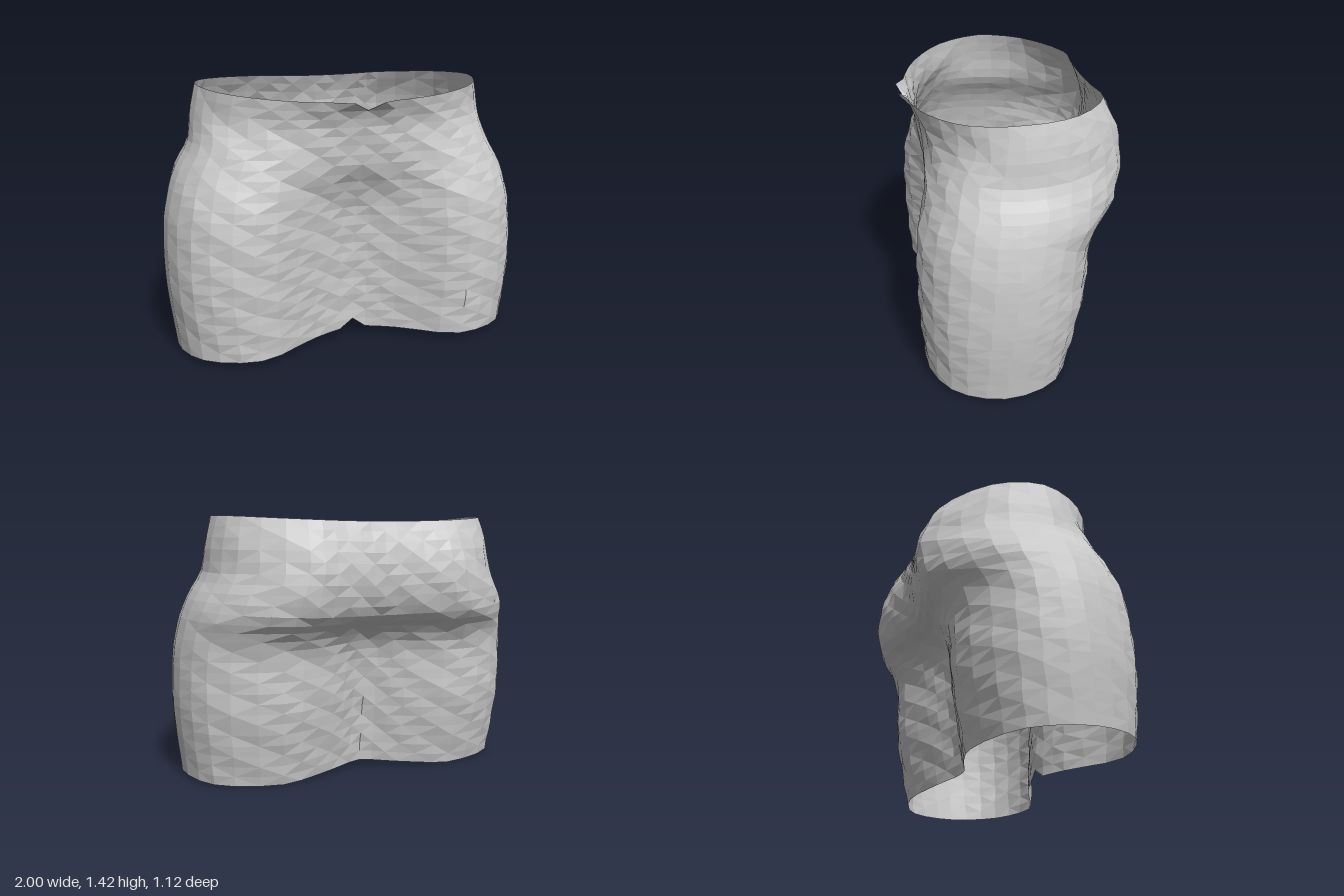
import * as THREE from 'three';

// Outline by height: y, half width, then z of front centre, front lobe, front corner, back lobe, back centre
const LEVELS = [
  [0.03, 0.96, 0.27, 0.49, 0.38, -0.3, -0.16],
  [0.4, 1, 0.29, 0.51, 0.39, -0.385, -0.21],
  [0.72, 0.99, 0.32, 0.505, 0.37, -0.41, -0.27],
  [0.82, 0.97, 0.34, 0.49, 0.36, -0.46, -0.34],
  [0.9, 0.95, 0.37, 0.47, 0.34, -0.53, -0.45],
  [1.0, 0.91, 0.415, 0.44, 0.31, -0.56, -0.5],
  [1.12, 0.84, 0.44, 0.41, 0.29, -0.57, -0.52],
  [1.25, 0.82, 0.455, 0.39, 0.22, -0.54, -0.51],
  [1.39, 0.785, 0.51, 0.41, 0.24, -0.47, -0.46],
];
const AROUND = 48, ROWS = 26;

// Closed smooth cross-section, mirrored left to right
function ring([y, w, frontMid, frontLobe, corner, backLobe, backMid]) {
  const half = [
    [0, frontMid],
    [0.23, THREE.MathUtils.lerp(frontMid, frontLobe, 0.27)],
    [0.59 * w, frontLobe],
    [0.89 * w, corner],
    [w, 0.12 - 0.09 * y],
    [0.88 * w, 0.57 * backLobe],
    [0.52 * w, backLobe],
    [0.21, THREE.MathUtils.lerp(backMid, backLobe, 0.5)],
    [0, backMid],
  ];
  const mirrored = half.slice(1, -1).reverse().map(([x, z]) => [-x, z]);
  const points = [...half, ...mirrored].map(([x, z]) => new THREE.Vector3(x, y, z));
  const curve = new THREE.CatmullRomCurve3(points, true);
  return Array.from({ length: AROUND }, (_, i) => curve.getPoint(i / AROUND));
}

// Sloping waist and hem, with a small notch at the front centre of each
function shapeRims(p, col, row) {
  const top = THREE.MathUtils.smoothstep(p.y, 1.1, 1.39);
  const bottom = 1 - THREE.MathUtils.smoothstep(p.y, 0.03, 0.4);
  const middle = Math.max(0, 1 - Math.abs(p.x) / 0.5);
  p.y += top * (0.05 * p.x * p.x - 0.06 * Math.max(p.z, 0));
  p.y += bottom * (0.038 * (p.z - 0.49) + 0.03 * middle);
  if (row === 0 && col === 0) p.y += 0.05;
  if (row === ROWS && col === 0) p.y -= 0.04;
  if (row === ROWS && (col === 1 || col === AROUND - 1)) p.z += 0.035;
}

export function createModel() {
  const group = new THREE.Group();
  group.name = 'garment';

  // Smooth columns from hem to waist
  const rings = LEVELS.map(ring);
  const positions = [], indices = [];
  for (let c = 0; c < AROUND; c++) {
    const column = new THREE.CatmullRomCurve3(rings.map((r) => r[c]));
    for (let r = 0; r <= ROWS; r++) {
      const p = column.getPointAt(r / ROWS);
      // slight cloth unevenness
      if (r > 0 && r < ROWS) p.z += 0.005 * Math.sin(c * 2.3 + r * 1.7);
      shapeRims(p, c, r);
      positions.push(p.x, Math.max(0, p.y), p.z);
    }
  }

  // Skin between columns, alternating the diagonal
  const at = (c, r) => (c % AROUND) * (ROWS + 1) + r;
  for (let c = 0; c < AROUND; c++) {
    for (let r = 0; r < ROWS; r++) {
      const a = at(c, r), b = at(c + 1, r), d = at(c + 1, r + 1), e = at(c, r + 1);
      if ((c + r) % 2) indices.push(a, b, d, a, d, e);
      else indices.push(a, b, e, b, d, e);
    }
  }

  const geometry = new THREE.BufferGeometry();
  geometry.setAttribute('position', new THREE.Float32BufferAttribute(positions, 3));
  geometry.setIndex(indices);
  geometry.computeVertexNormals();

  const material = new THREE.MeshStandardMaterial({ color: 0xcccccc, flatShading: true, side: THREE.DoubleSide });
  const shell = new THREE.Mesh(geometry, material);
  shell.name = 'fabricShell';
  group.add(shell);
  return group;
}
